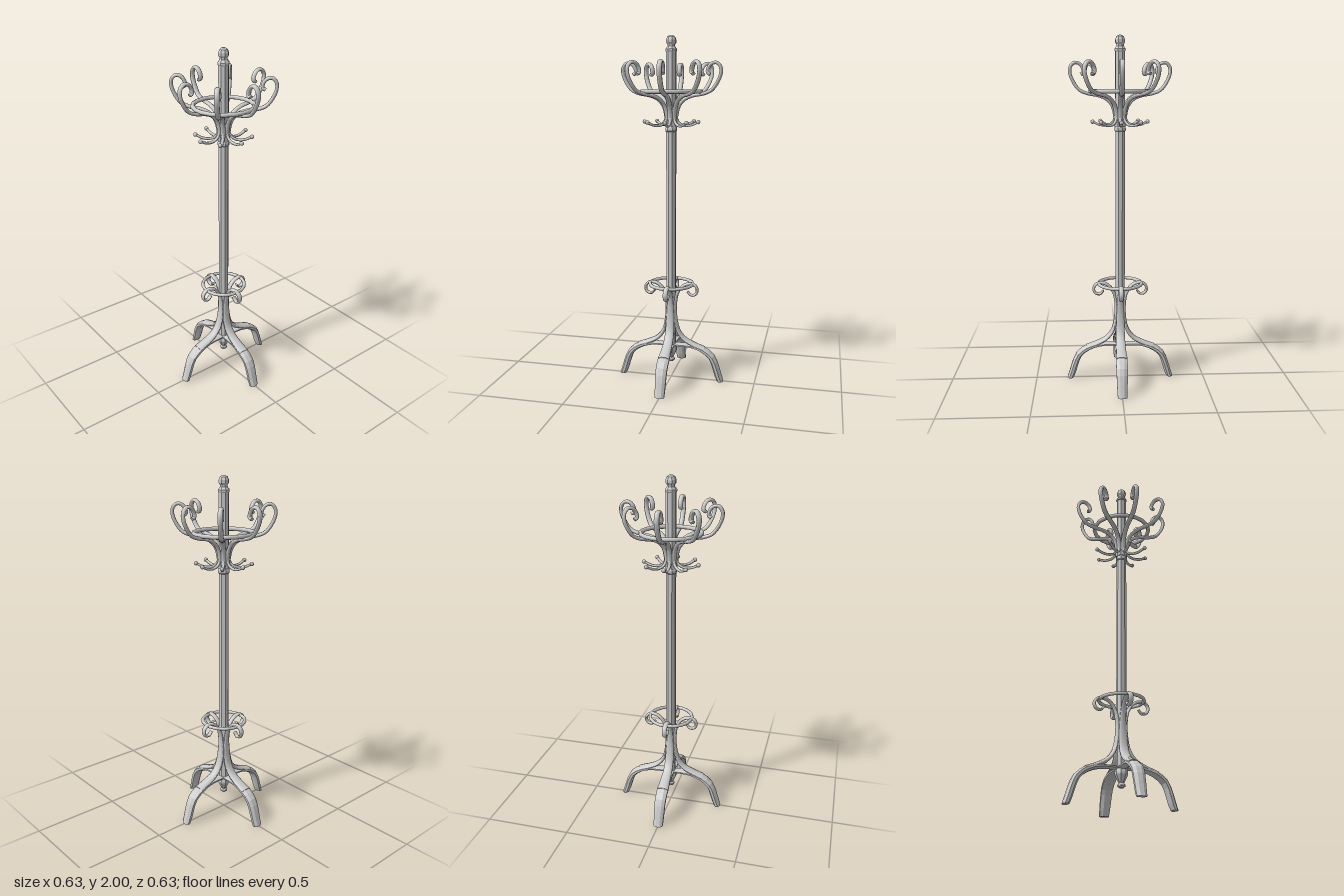
import * as THREE from 'three';

const smooth = new THREE.MeshStandardMaterial({ color: 0xcccccc });
const flat = new THREE.MeshStandardMaterial({ color: 0xcccccc, flatShading: true });

// Sweep an oval section along a path of [radius, height, halfWidth, halfThickness]
function sweep(points, segments, sides = 8) {
  const path = new THREE.CatmullRomCurve3(points.map(p => new THREE.Vector3(p[0], p[1], 0)), false, 'centripetal');
  const pos = [], idx = [];
  const last = points.length - 1;
  for (let i = 0; i <= segments; i++) {
    const u = i / segments;
    const c = path.getPoint(u), t = path.getTangent(u);
    const k = Math.min(Math.floor(u * last), last - 1), f = u * last - k;
    const w = THREE.MathUtils.lerp(points[k][2], points[k + 1][2], f);
    const h = THREE.MathUtils.lerp(points[k][3], points[k + 1][3], f);
    for (let j = 0; j < sides; j++) {
      const a = ((j + 0.5) / sides) * Math.PI * 2;
      const n = Math.cos(a) * h * 1.06;
      pos.push(c.x - t.y * n, Math.max(0, c.y + t.x * n), Math.sin(a) * w * 1.06);
    }
  }
  for (let i = 0; i < segments; i++) {
    for (let j = 0; j < sides; j++) {
      const a = i * sides + j, b = i * sides + (j + 1) % sides;
      idx.push(a, b, a + sides, b, b + sides, a + sides);
    }
  }
  // End caps use their own corners so the ends stay crisp
  for (const end of [0, segments]) {
    const base = pos.length / 3;
    pos.push(...pos.slice(end * sides * 3, (end + 1) * sides * 3));
    for (let j = 1; j < sides - 1; j++) {
      if (end) idx.push(base, base + j, base + j + 1);
      else idx.push(base, base + j + 1, base + j);
    }
  }
  const geo = new THREE.BufferGeometry();
  geo.setAttribute('position', new THREE.Float32BufferAttribute(pos, 3));
  geo.setIndex(idx);
  geo.computeVertexNormals();
  return geo;
}

// Constant section along a path
const even = (pts, w, h) => pts.map(([r, y]) => [r, y, w, h]);

export function createModel() {
  const group = new THREE.Group();
  const add = (name, geo, mat) => {
    const mesh = new THREE.Mesh(geo, mat);
    mesh.name = name;
    group.add(mesh);
    return mesh;
  };
  const around = (count, name, geo, mat) => {
    for (let i = 0; i < count; i++) add(name + (i + 1), geo, mat).rotation.y = (i / count) * Math.PI * 2;
  };
  const turned = (name, profile) =>
    add(name, new THREE.LatheGeometry(profile.map(p => new THREE.Vector2(...p)), 8), flat).rotation.y = Math.PI / 8;

  // Octagonal pole with its collar and turned ends
  turned('pole', [[0, 0.2], [0.029, 0.2], [0.029, 1.47], [0.034, 1.475], [0.034, 1.49], [0.029, 1.5],
    [0.029, 1.91], [0.033, 1.915], [0.033, 1.925], [0.022, 1.94]]);
  turned('topFinial', [[0.022, 1.94], [0.022, 1.95], [0.029, 1.96], [0.029, 1.975], [0.022, 1.992], [0.01, 2], [0, 2]]);
  turned('bottomFinial', [[0, 0.1], [0.012, 0.1], [0.022, 0.108], [0.022, 0.116], [0.014, 0.125],
    [0.022, 0.14], [0.036, 0.17], [0.036, 0.18], [0.03, 0.21]]);

  // Splayed legs meeting below the pole
  const leg = sweep([
    [0.298, -0.012, 0.027, 0.019], [0.272, 0.08, 0.031, 0.019], [0.245, 0.145, 0.033, 0.018],
    [0.19, 0.187, 0.034, 0.016], [0.12, 0.205, 0.029, 0.011], [0.02, 0.205, 0.024, 0.009],
  ], 10);
  around(4, 'leg', leg, flat);

  // Stems that rise from the legs and end in scrolls
  const stem = sweep([
    [0.2, 0.19, 0.031, 0.012], [0.13, 0.217, 0.029, 0.012], [0.08, 0.245, 0.027, 0.012],
    [0.045, 0.29, 0.026, 0.011], [0.027, 0.36, 0.024, 0.01], [0.024, 0.46, 0.018, 0.01],
    [0.04, 0.53, 0.015, 0.009], [0.075, 0.573, 0.014, 0.009], [0.115, 0.585, 0.014, 0.009],
    [0.147, 0.572, 0.014, 0.008], [0.156, 0.545, 0.014, 0.008], [0.143, 0.521, 0.013, 0.008],
    [0.118, 0.517, 0.013, 0.007], [0.098, 0.538, 0.012, 0.006],
  ], 36);
  around(4, 'scrollStem', stem, smooth);

  // Curled coat arms
  const arm = sweep(even([
    [0.025, 1.5], [0.03, 1.56], [0.045, 1.615], [0.075, 1.65], [0.12, 1.67], [0.18, 1.681],
    [0.226, 1.7], [0.258, 1.74], [0.279, 1.79], [0.277, 1.828], [0.255, 1.85], [0.227, 1.845],
    [0.208, 1.82], [0.206, 1.796], [0.22, 1.787],
  ], 0.0135, 0.0095), 40);
  around(8, 'coatArm', arm, smooth);

  // Small lower hooks with ball tips
  const hook = sweep(even([
    [0.024, 1.6], [0.03, 1.55], [0.045, 1.52], [0.075, 1.506], [0.115, 1.508], [0.152, 1.524],
  ], 0.009, 0.007), 16, 6);
  around(8, 'hook', hook, smooth);
  const ball = new THREE.SphereGeometry(0.012, 8, 6).translate(0.155, 1.525, 0);
  around(8, 'hookBall', ball, smooth);

  // Bentwood rings
  const ring = (name, radius, tube, y) =>
    add(name, new THREE.TorusGeometry(radius, tube, 8, 18).rotateX(Math.PI / 2).translate(0, y, 0), smooth);
  ring('upperRing', 0.167, 0.012, 1.694);
  ring('lowerRing', 0.126, 0.01, 0.58);

  return group;
}
